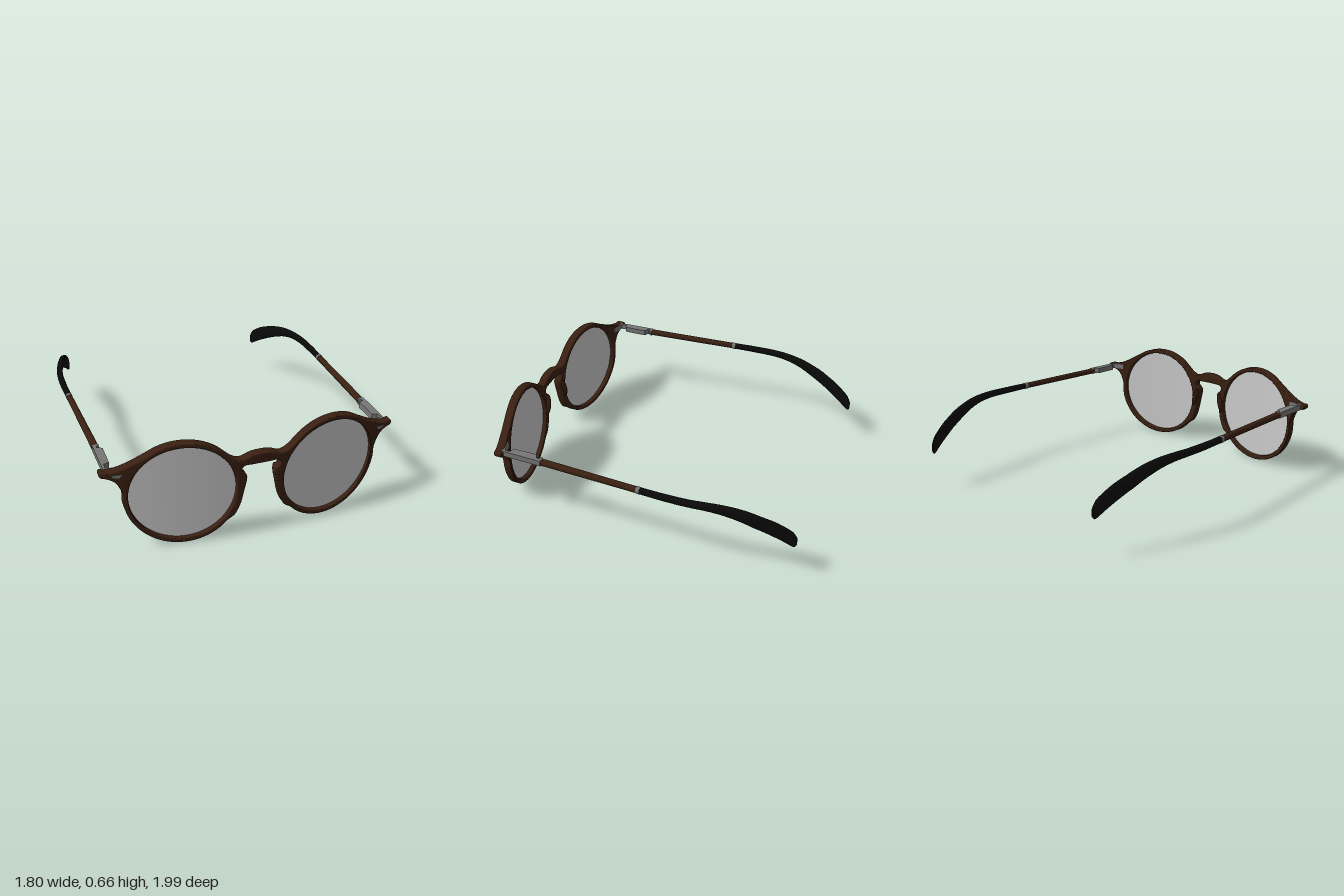
import * as THREE from 'three';
import { toCreasedNormals } from 'three/addons/utils/BufferGeometryUtils.js';

const mat = (color, extra = {}) => new THREE.MeshStandardMaterial({ color, ...extra });
const V2 = ([x, y]) => new THREE.Vector2(x, y);
const CX = 0.445, CY = 0.33, R_OUT = 0.33, R_IN = 0.302, DEPTH = 0.055;

// Wrap a flat front part onto the face curve, slightly peaked at the bridge
function bend(geo) {
  const p = geo.attributes.position;
  for (let i = 0; i < p.count; i++) {
    const x = p.getX(i);
    p.setZ(i, p.getZ(i) + 0.99 - 0.035 * (Math.hypot(x, 0.02) - 0.02) - 0.135 * x * x);
  }
  return geo;
}

// Halve every edge longer than max, so that flat faces can bend smoothly
function subdivide(geo, max) {
  const p = (geo.index ? geo.toNonIndexed() : geo).attributes.position;
  const out = [];
  const split = t => {
    const len = t.map((v, i) => v.distanceTo(t[(i + 1) % 3]));
    const i = len.indexOf(Math.max(...len));
    if (len[i] <= max) return t.forEach(v => out.push(v.x, v.y, v.z));
    const a = t[i], b = t[(i + 1) % 3], c = t[(i + 2) % 3];
    const m = a.clone().add(b).multiplyScalar(0.5);
    split([a, m, c]);
    split([m, b, c]);
  };
  for (let i = 0; i < p.count; i += 3) {
    split([0, 1, 2].map(k => new THREE.Vector3().fromBufferAttribute(p, i + k)));
  }
  const g = new THREE.BufferGeometry();
  g.setAttribute('position', new THREE.Float32BufferAttribute(out, 3));
  return g;
}

// Mirror across x = 0, keeping the faces outward
function mirror(geo) {
  const g = geo.index ? geo.toNonIndexed() : geo.clone();
  const a = g.attributes.position.array;
  for (let i = 0; i < a.length; i += 9) {
    for (let k = 0; k < 9; k += 3) a[i + k] *= -1;
    for (let k = 0; k < 3; k++) [a[i + 3 + k], a[i + 6 + k]] = [a[i + 6 + k], a[i + 3 + k]];
  }
  return g;
}

// Loft rounded sections along -z; each station is [x, y, z, width, height]
function loft(stations, steps, sides = 20) {
  const mid = new THREE.CatmullRomCurve3(stations.map(s => new THREE.Vector3(s[0], s[1], s[2])));
  const size = new THREE.CatmullRomCurve3(stations.map(s => new THREE.Vector3(s[3], s[4], 0)));
  const pos = [], idx = [];
  const round = v => Math.sign(v) * Math.pow(Math.abs(v), 0.75);
  for (let i = 0; i <= steps; i++) {
    const c = mid.getPoint(i / steps), s = size.getPoint(i / steps);
    for (let j = 0; j < sides; j++) {
      const a = (j / sides) * Math.PI * 2;
      pos.push(c.x + round(Math.cos(a)) * s.x / 2, c.y + round(Math.sin(a)) * s.y / 2, c.z);
      if (i < steps) {
        const k = (j + 1) % sides, n = i * sides;
        idx.push(n + j, n + sides + j, n + k, n + k, n + sides + j, n + sides + k);
      }
    }
  }
  // End caps
  const last = steps * sides;
  for (let j = 1; j < sides - 1; j++) idx.push(0, j, j + 1, last, last + j + 1, last + j);
  const g = new THREE.BufferGeometry();
  g.setAttribute('position', new THREE.Float32BufferAttribute(pos, 3));
  g.setIndex(idx);
  return g;
}

// Outline of the front: bridge, rims, end pieces and nose rests
function frameGeometry() {
  const arc = (from, to, n) => Array.from({ length: n + 1 }, (_, i) => {
    const a = THREE.MathUtils.degToRad(from + (to - from) * i / n);
    return [CX + R_OUT * Math.cos(a), CY + R_OUT * Math.sin(a)];
  });
  const half = [
    [0, 0.538], [0.06, 0.531], [0.12, 0.509], [0.16, 0.521], [0.2, 0.552],
    ...arc(128, 65, 7),
    [0.66, 0.585], [0.74, 0.541], [0.81, 0.512], [0.86, 0.503], [0.886, 0.505],
    [0.894, 0.49], [0.886, 0.474], [0.85, 0.465], [0.81, 0.44], [0.785, 0.395],
    ...arc(5, -140, 14),
    [0.155, 0.145], [0.122, 0.21], [0.101, 0.3], [0.085, 0.395], [0.093, 0.415], [0.109, 0.428],
    [0.115, 0.452], [0.1, 0.469], [0.06, 0.471], [0, 0.472],
  ];
  const other = half.slice(1, -1).reverse().map(([x, y]) => [-x, y]);
  const loop = new THREE.CatmullRomCurve3(
    [...half, ...other].map(([x, y]) => new THREE.Vector3(x, y, 0)), true, 'centripetal');
  const shape = new THREE.Shape(loop.getPoints(420).slice(0, -1).map(p => new THREE.Vector2(p.x, p.y)));
  // The outline runs clockwise, so the holes run the other way
  for (const s of [1, -1]) {
    const hole = new THREE.Path();
    hole.absarc(s * CX, CY, R_IN, 0, Math.PI * 2, false);
    shape.holes.push(hole);
  }
  const b = 0.007;
  const g = new THREE.ExtrudeGeometry(shape, {
    depth: DEPTH - 2 * b, curveSegments: 72, bevelThickness: b, bevelSize: b, bevelOffset: -b, bevelSegments: 3,
  });
  return toCreasedNormals(bend(subdivide(g.translate(0, 0, b - DEPTH), 0.05)), 0.6);
}

// Flat polygon with thickness
const slab = (pts, depth) => new THREE.ExtrudeGeometry(new THREE.Shape(pts.map(V2)), { depth, bevelEnabled: false });

export function createModel() {
  const model = new THREE.Group();
  const wood = mat(0x3a2012), black = mat(0x0a0a0a), metal = mat(0x777777);
  const glass = mat(0xcccccc, { side: THREE.DoubleSide });
  const add = (parent, name, geo, material) => {
    const m = new THREE.Mesh(geo, material);
    m.name = name;
    parent.add(m);
  };

  add(model, 'frontFrame', frameGeometry(), wood);

  // Parts of the left side
  const lens = bend(new THREE.RingGeometry(0, R_IN + 0.006, 72, 8).translate(CX, CY, -0.026));

  const nosePad = new THREE.SphereGeometry(1, 24, 16).scale(0.018, 0.075, 0.025)
    .rotateZ(0.24).translate(0.116, 0.345, 0.93);

  const rivet = bend(slab([[0.785, 0.476], [0.817, 0.476], [0.832, 0.491], [0.774, 0.496]], 0.008)
    .translate(0, 0, -0.004));

  const bracket = bend(new THREE.BoxGeometry(0.095, 0.036, 0.014, 6, 1, 1)
    .translate(0.812, 0.486, -DEPTH));

  // Hinge plan drawn as (x, -z), then laid flat
  const hinge = slab([
    [0.848, -0.815], [0.846, -0.765], [0.815, -0.755], [0.815, -0.6], [0.846, -0.583],
    [0.846, -0.57], [0.83, -0.565], [0.83, -0.55], [0.868, -0.55], [0.862, -0.815],
  ], 0.038).rotateX(-Math.PI / 2).translate(0, 0.467, 0);

  const arm = loft([[0.849, 0.486, 0.556, 0.042, 0.038], [0.877, 0.487, -0.085, 0.036, 0.037]], 6);
  const band = loft([[0.877, 0.487, -0.08, 0.04, 0.041], [0.878, 0.487, -0.102, 0.04, 0.041]], 1);
  const tip = loft([
    [0.878, 0.487, -0.1, 0.036, 0.038], [0.883, 0.487, -0.25, 0.038, 0.041],
    [0.88, 0.487, -0.4, 0.038, 0.044], [0.866, 0.483, -0.5, 0.038, 0.05],
    [0.845, 0.468, -0.6, 0.037, 0.065], [0.82, 0.437, -0.7, 0.037, 0.084],
    [0.804, 0.408, -0.77, 0.036, 0.095], [0.795, 0.394, -0.8, 0.027, 0.099],
    [0.767, 0.347, -0.89, 0.025, 0.108], [0.742, 0.292, -0.97, 0.022, 0.106],
    [0.736, 0.274, -0.99, 0.019, 0.084], [0.733, 0.27, -1.0, 0.012, 0.05],
  ], 55);

  // [name, geometry, material, crease angle]
  const parts = [
    ['lens', lens, glass, 1], ['nosePad', nosePad, wood, 1], ['rivetPlate', rivet, metal, 0.5],
    ['hingeBracket', bracket, metal, 0.5], ['hinge', hinge, metal, 0.5],
    ['templeArm', arm, wood, 0.8], ['templeBand', band, metal, 0.8], ['templeTip', tip, black, 0.8],
  ];
  for (const side of ['left', 'right']) {
    const group = new THREE.Group();
    group.name = side + 'Side';
    for (const [name, geo, material, crease] of parts) {
      add(group, name, toCreasedNormals(side === 'left' ? geo : mirror(geo), crease), material);
    }
    model.add(group);
  }
  return model;
}
